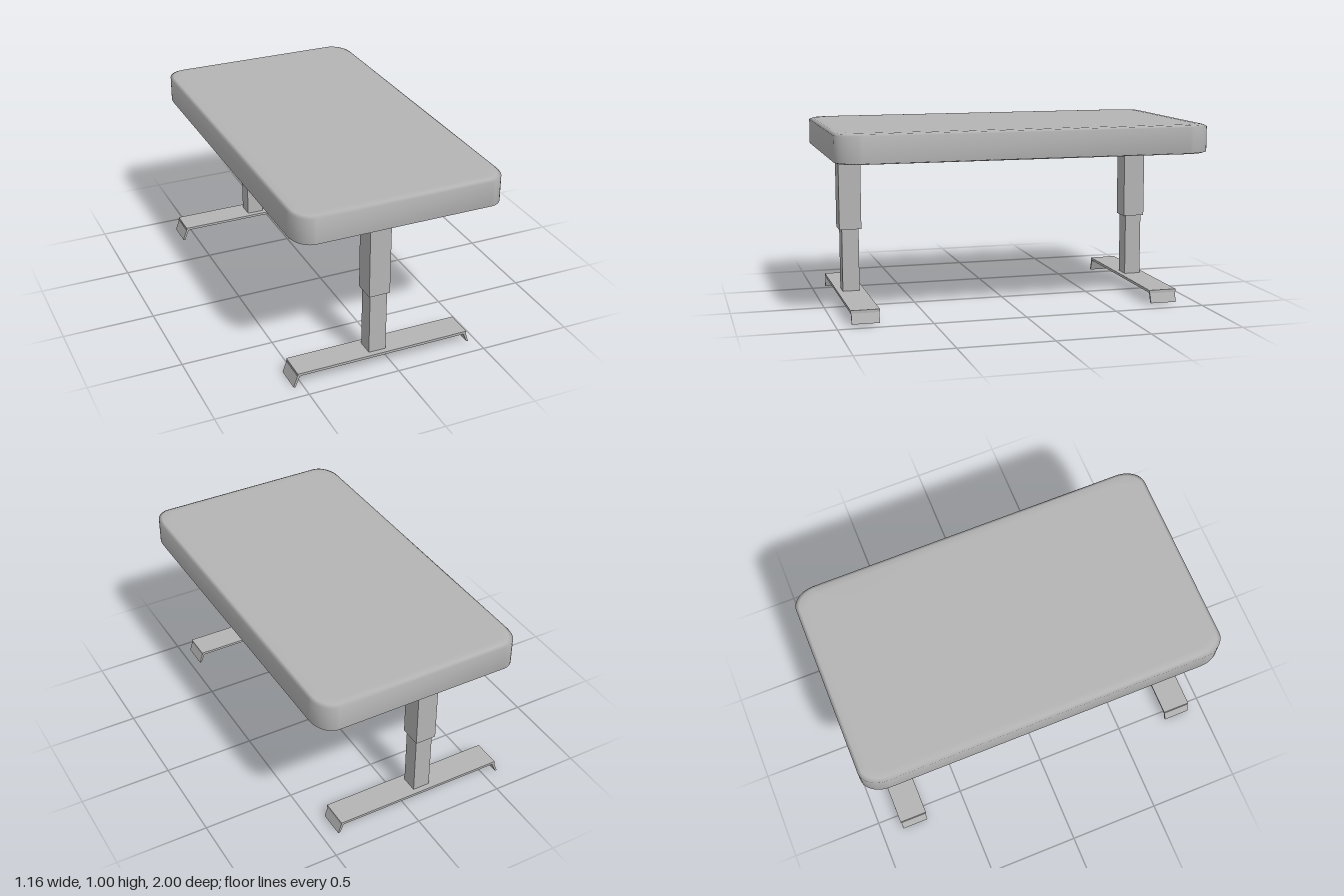
import * as THREE from 'three';

const grey = new THREE.MeshStandardMaterial({ color: 0xb4b4b4 });
grey.name = 'grey';

function box(name, x0, x1, y0, y1, depth) {
  const mesh = new THREE.Mesh(new THREE.BoxGeometry(x1 - x0, y1 - y0, depth), grey);
  mesh.position.set((x0 + x1) / 2, (y0 + y1) / 2, 0);
  mesh.name = name;
  return mesh;
}

// Soft-edged slab lofted from rounded-rectangle rings
function slabGeometry(cx, halfX, halfZ, levels) {
  const steps = 10, pos = [], index = [];
  const ringSize = 4 * (steps + 1);
  for (const [inset, y] of levels) {
    const rx = 0.095 - inset * 0.5, rz = 0.13 - inset * 0.5;
    for (let q = 0; q < 4; q++) {
      const sx = q === 0 || q === 3 ? 1 : -1, sz = q < 2 ? 1 : -1;
      for (let i = 0; i <= steps; i++) {
        const a = (q + i / steps) * Math.PI / 2;
        pos.push(cx + sx * (halfX - inset - rx) + rx * Math.cos(a), y,
          sz * (halfZ - inset - rz) + rz * Math.sin(a));
      }
    }
  }
  for (let l = 0; l < levels.length - 1; l++) {
    for (let i = 0; i < ringSize; i++) {
      const j = (i + 1) % ringSize;
      const a = l * ringSize + i, b = l * ringSize + j;
      index.push(a, a + ringSize, b, b, a + ringSize, b + ringSize);
    }
  }
  // Bottom and top caps
  const last = (levels.length - 1) * ringSize, low = pos.length / 3;
  pos.push(cx, levels[0][1], 0, cx, levels[levels.length - 1][1], 0);
  for (let i = 0; i < ringSize; i++) {
    const j = (i + 1) % ringSize;
    index.push(low, i, j, low + 1, last + j, last + i);
  }
  const geo = new THREE.BufferGeometry();
  geo.setAttribute('position', new THREE.Float32BufferAttribute(pos, 3));
  geo.setIndex(index);
  geo.computeVertexNormals();
  return geo;
}

// Slanted foot plate: top edge x0..x1, bottom edge x2..x3
function footPad(name, x0, x1, x2, x3, bottom) {
  const shape = new THREE.Shape();
  shape.moveTo(x2, bottom + 0.003);
  shape.lineTo(x3, bottom);
  shape.lineTo(x1, 0.068);
  shape.lineTo(x0, 0.068);
  shape.closePath();
  const geo = new THREE.ExtrudeGeometry(shape, { depth: 0.146, bevelEnabled: false });
  geo.translate(0, 0, -0.073);
  const mesh = new THREE.Mesh(geo, grey);
  mesh.name = name;
  return mesh;
}

// Telescopic column on a flat foot bar
function createLeg(name) {
  const leg = new THREE.Group();
  leg.name = name;
  leg.add(
    box('upperColumn', -0.131, -0.016, 0.423, 0.85, 0.12),
    box('lowerColumn', -0.12, -0.025, 0.08, 0.43, 0.092),
    box('footBar', -0.528, 0.434, 0.067, 0.081, 0.153),
    footPad('rightFootPad', -0.528, -0.514, -0.551, -0.541, 0.002),
    footPad('leftFootPad', 0.419, 0.433, 0.439, 0.451, 0.012),
    // Short lips joining the pads to the bar
    box('rightLip', -0.53, -0.51, 0.064, 0.069, 0.15),
    box('leftLip', 0.416, 0.434, 0.064, 0.069, 0.15)
  );
  return leg;
}

export function createModel() {
  const model = new THREE.Group();
  model.name = 'table';

  const top = new THREE.Mesh(slabGeometry(0.013, 0.569, 1, [
    [0.055, 0.844], [0.018, 0.846], [0, 0.853], [0, 0.988], [0.018, 0.997], [0.055, 1]
  ]), grey);
  top.name = 'tableTop';
  model.add(top);

  const front = createLeg('frontLeg');
  front.position.z = 0.846;
  const back = createLeg('backLeg');
  back.position.set(-0.032, 0, -0.806);
  model.add(front, back);
  return model;
}
